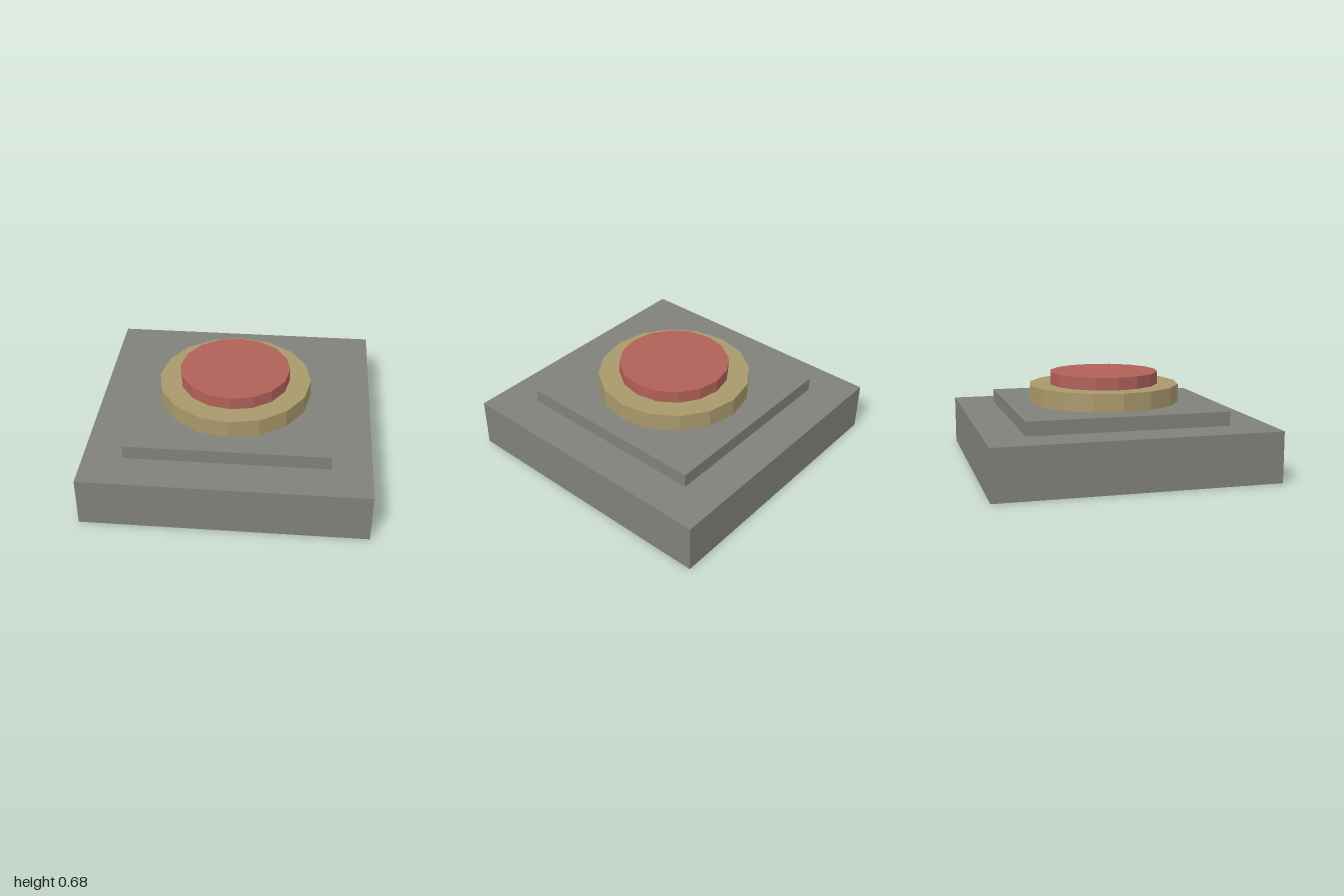
import * as THREE from 'three';

const stone = new THREE.MeshStandardMaterial({ name: 'stone grey', color: 0x80817a, flatShading: true });
const brass = new THREE.MeshStandardMaterial({ name: 'dull brass', color: 0xa8986b, flatShading: true });
const red = new THREE.MeshStandardMaterial({ name: 'button red', color: 0xb06058, flatShading: true });

export function createModel() {
  const model = new THREE.Group();
  model.name = 'pushButton';

  // Each tier rests on the one below it
  let top = 0;
  const addTier = (name, geometry, height, material) => {
    const mesh = new THREE.Mesh(geometry, material);
    mesh.name = name;
    mesh.position.y = top + height / 2;
    top += height;
    model.add(mesh);
  };
  const slab = (width, height) => new THREE.BoxGeometry(width, height, width);
  const disc = (radius, height) => new THREE.CylinderGeometry(radius, radius, height, 16);

  // Square base and raised plate
  addTier('base', slab(2, 0.36), 0.36, stone);
  addTier('raisedPlate', slab(1.44, 0.1), 0.1, stone);

  // Sixteen-sided collar and button cap
  addTier('collar', disc(0.555, 0.13), 0.13, brass);
  addTier('buttonCap', disc(0.4, 0.09), 0.09, red);

  return model;
}
